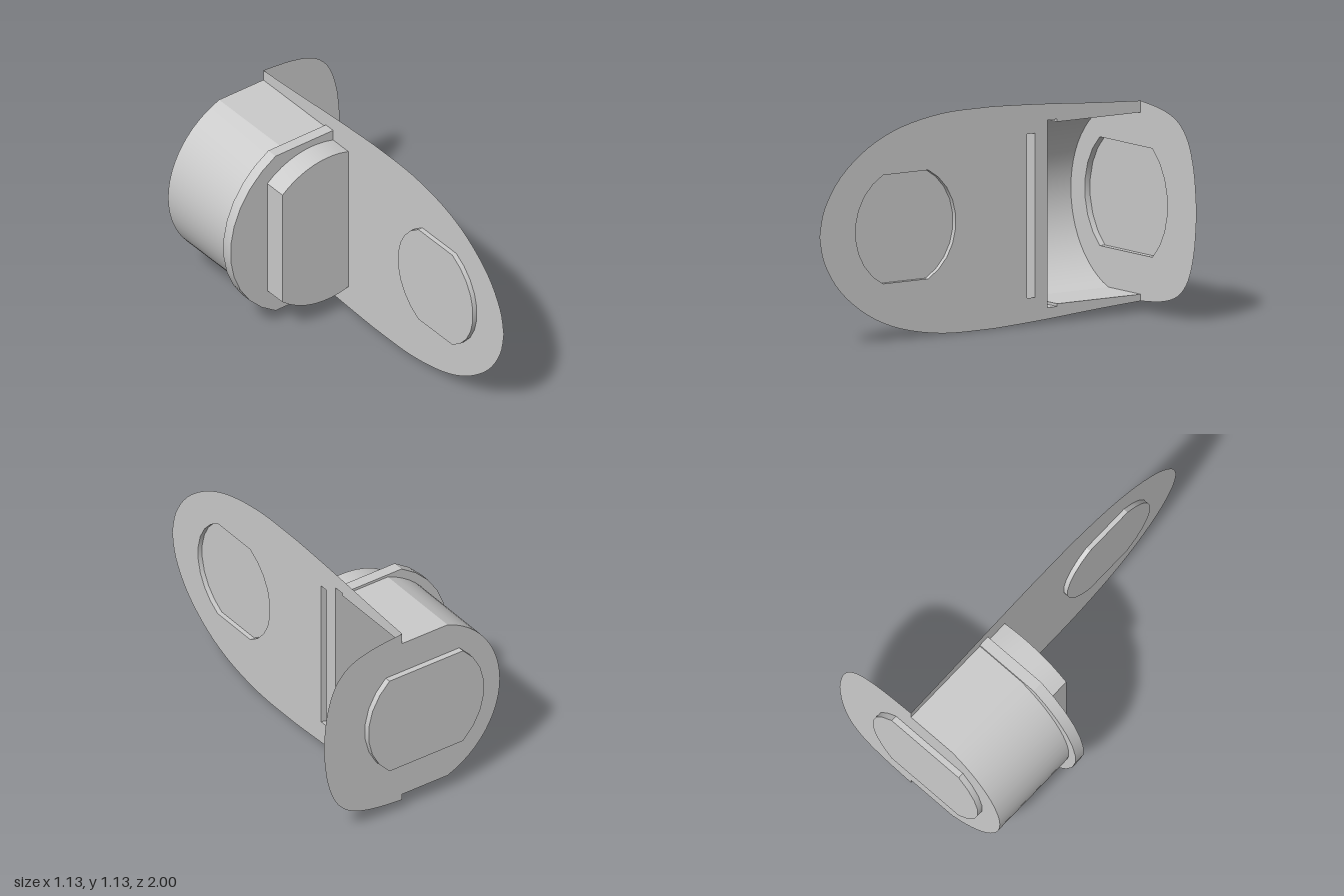
import * as THREE from 'three';
import { toCreasedNormals } from 'three/addons/utils/BufferGeometryUtils.js';

const mat = new THREE.MeshStandardMaterial({ color: 0xcccccc, side: THREE.DoubleSide });
const EDGE = 0.08;   // x of the side panel
const BACK = -0.968; // z of the back panel
const V = (x, y) => new THREE.Vector2(x, y);

function add(parent, name, geometry) {
  const mesh = new THREE.Mesh(geometry, mat);
  mesh.name = name;
  parent.add(mesh);
}

// Flat sheet at depth z, with optional holes
function face(points, z, holes = []) {
  const shape = new THREE.Shape(points);
  holes.forEach(h => shape.holes.push(new THREE.Path(h)));
  return new THREE.ShapeGeometry(shape).translate(0, 0, z);
}

// Thin wall following an outline from z0 to z1
function wall(points, z0, z1) {
  const pos = [];
  for (let i = 0; i < points.length - 1; i++) {
    const a = points[i], b = points[i + 1];
    pos.push(a.x, a.y, z0, a.x, a.y, z1, b.x, b.y, z1,
      a.x, a.y, z0, b.x, b.y, z1, b.x, b.y, z0);
  }
  const g = new THREE.BufferGeometry();
  g.setAttribute('position', new THREE.Float32BufferAttribute(pos, 3));
  return toCreasedNormals(g, 0.4);
}

function arc(cx, cy, r, a0, a1, n) {
  return Array.from({ length: n + 1 }, (_, i) => {
    const a = a0 + (a1 - a0) * i / n;
    return V(cx + r * Math.cos(a), cy + r * Math.sin(a));
  });
}

// Round housing with flat top and bottom, open at the side panel
function housing(cx, cy, r, h, n) {
  const a = Math.asin(h / r);
  return [V(EDGE, cy + h), ...arc(cx, cy, r, Math.PI - a, Math.PI + a, n), V(EDGE, cy - h)];
}

// Disc with flat top and bottom
function flatDisc(cx, cy, r, h, n) {
  const a = Math.asin(h / r);
  return [...arc(cx, cy, r, -a, a, n), ...arc(cx, cy, r, Math.PI - a, Math.PI + a, n)];
}

// Shallow recess: rim and floor
function recess(parent, name, pts, z0, z1) {
  add(parent, name + 'Rim', wall([...pts, pts[0]], z0, z1));
  add(parent, name + 'Floor', face(pts, z1));
}

// Smooth upper curve, mirrored below the middle height
function mirrored(upper, cy, n) {
  const top = new THREE.SplineCurve(upper).getPoints(n);
  const low = top.slice(0, -1).reverse().map(p => V(p.x, 2 * cy - p.y));
  return [...top, ...low];
}

export function createModel() {
  const model = new THREE.Group();
  model.name = 'panelHousing';
  const MID = 0.5625;

  // Drum and flange
  const body = housing(-0.03, 0.55, 0.49, 0.46, 24);
  const flange = housing(-0.03, 0.55, 0.537, 0.474, 11);
  add(model, 'drumWall', wall(body, BACK, -0.457));
  add(model, 'flangeWall', wall(flange, -0.457, -0.397));
  add(model, 'flangeStep', face([...flange, ...body.slice().reverse()], -0.457));
  add(model, 'flangeFront', face(flange, -0.397));

  // Narrow front chamber with a flat side
  const a0 = Math.acos(0.13 / 0.435), a1 = Math.PI - Math.acos(0.285 / 0.435);
  const chamber = [...arc(-0.05, 0.55, 0.435, a0, a1, 8),
    ...arc(-0.05, 0.55, 0.435, -a1, -a0, 8)];
  add(model, 'chamberWall', wall(chamber, -0.397, -0.272));
  add(model, 'chamberFront', face(chamber, -0.272));
  add(model, 'chamberDivider', face(chamber, -0.322));

  // Back panel with its disc recess
  const backDisc = flatDisc(-0.045, 0.565, 0.356, 0.275, 7);
  const backEdge = mirrored([V(EDGE, 1.069), V(0.24, 1.053), V(0.36, 1.023), V(0.44, 0.975),
    V(0.5, 0.895), V(0.54, 0.77), V(0.557, 0.64), V(0.561, MID)], MID, 24);
  add(model, 'backPanel', face([...body, ...backEdge.slice().reverse()], BACK, [backDisc]));
  recess(model, 'backRecess', backDisc, BACK, -1);

  // Side panel, drawn flat with u = -z, then turned to face +x
  const side = new THREE.Group();
  side.name = 'sidePanelGroup';
  side.rotation.y = Math.PI / 2;
  side.position.x = EDGE;
  model.add(side);
  const outline = mirrored([V(-BACK, 1.069), V(0.7, 1.085), V(0.4, 1.107), V(0.15, 1.121),
    V(0, 1.125), V(-0.25, 1.119), V(-0.5, 1.073), V(-0.7, 0.988), V(-0.87, 0.854),
    V(-0.97, 0.7), V(-1, MID)], MID, 40);
  const opening = [V(-BACK, 0.09), V(0.457, 0.09), V(0.457, 0.076), V(0.397, 0.076),
    V(0.397, 1.024), V(0.457, 1.024), V(0.457, 1.01), V(-BACK, 1.01)];
  const slot = [V(0.272, 0.135), V(0.322, 0.135), V(0.322, 0.965), V(0.272, 0.965)];
  const sideDisc = flatDisc(-0.472, 0.565, 0.308, 0.275, 9);
  add(side, 'sidePanel', face([...outline, ...opening], 0, [slot, sideDisc]));
  recess(side, 'sideRecess', sideDisc, 0, -0.025);

  return model;
}
